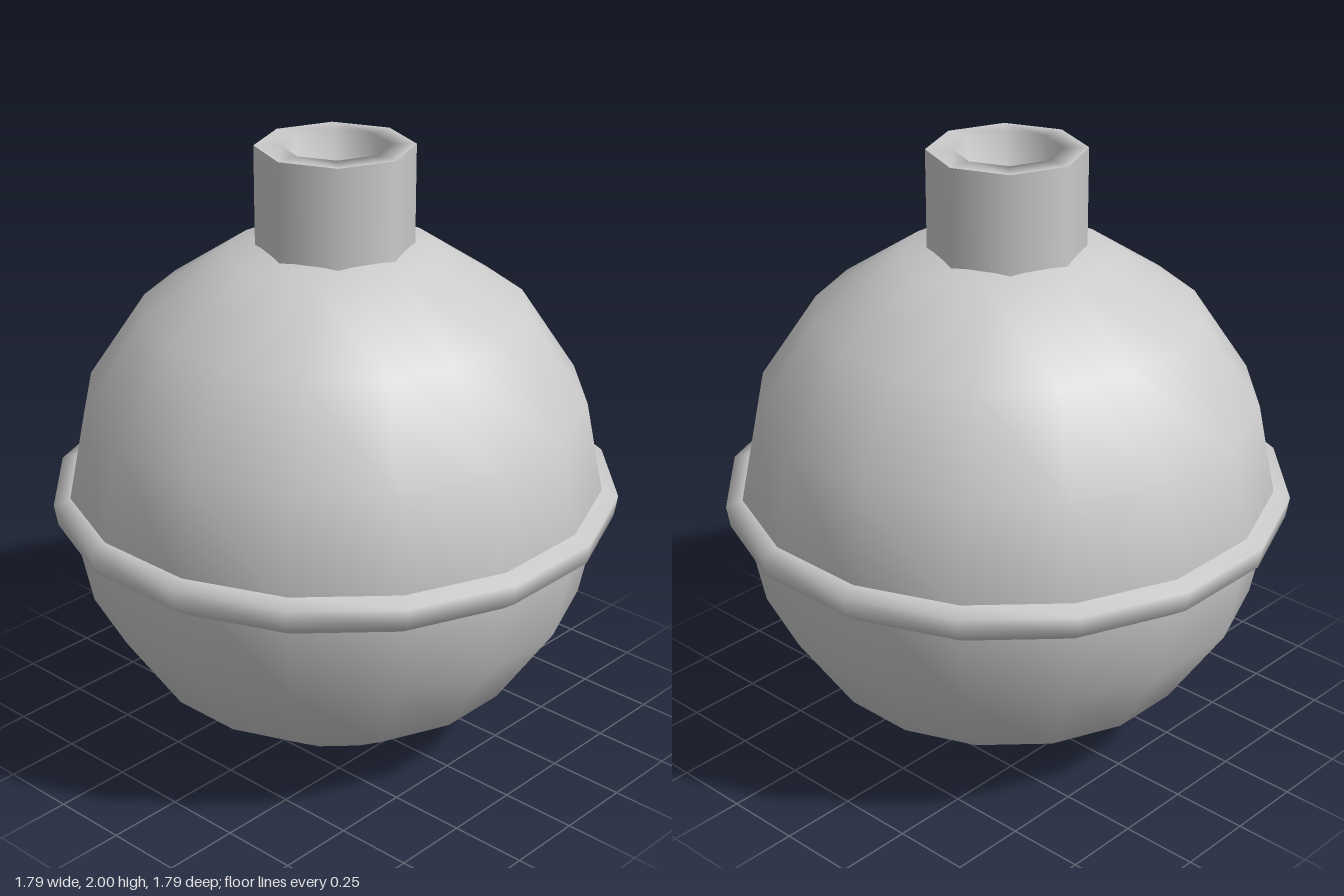
import * as THREE from 'three';

const material = new THREE.MeshStandardMaterial({ color: 0xcccccc });

// Revolve a [radius, height] profile; a repeated point makes a crease.
function lathe(name, profile, sides, start = 0) {
  const points = profile.map(([r, y]) => new THREE.Vector2(r, y));
  const mesh = new THREE.Mesh(new THREE.LatheGeometry(points, sides, start), material);
  mesh.name = name;
  return mesh;
}

export function createModel() {
  const model = new THREE.Group();
  model.name = 'roundFlask';

  const radius = 0.867;
  const sides = 16;
  const halfStep = Math.PI / sides; // flats face the axes

  // Spherical body
  const body = new THREE.Mesh(new THREE.SphereGeometry(radius, sides, 8, halfStep), material);
  body.name = 'body';
  body.position.y = radius;
  model.add(body);

  // Raised band round the middle
  model.add(lathe('band', [
    [0.83, 0.765], [0.902, 0.817], [0.913, 0.886], [0.857, 0.905], [0.83, 0.905],
  ], sides, halfStep));

  // Hollow octagonal neck: outer wall, rim, bore and floor
  model.add(lathe('neck', [
    [0.248, 1.62], [0.248, 2], [0.248, 2],
    [0.167, 2], [0.167, 1.745], [0, 1.745],
  ], 8));

  return model;
}
